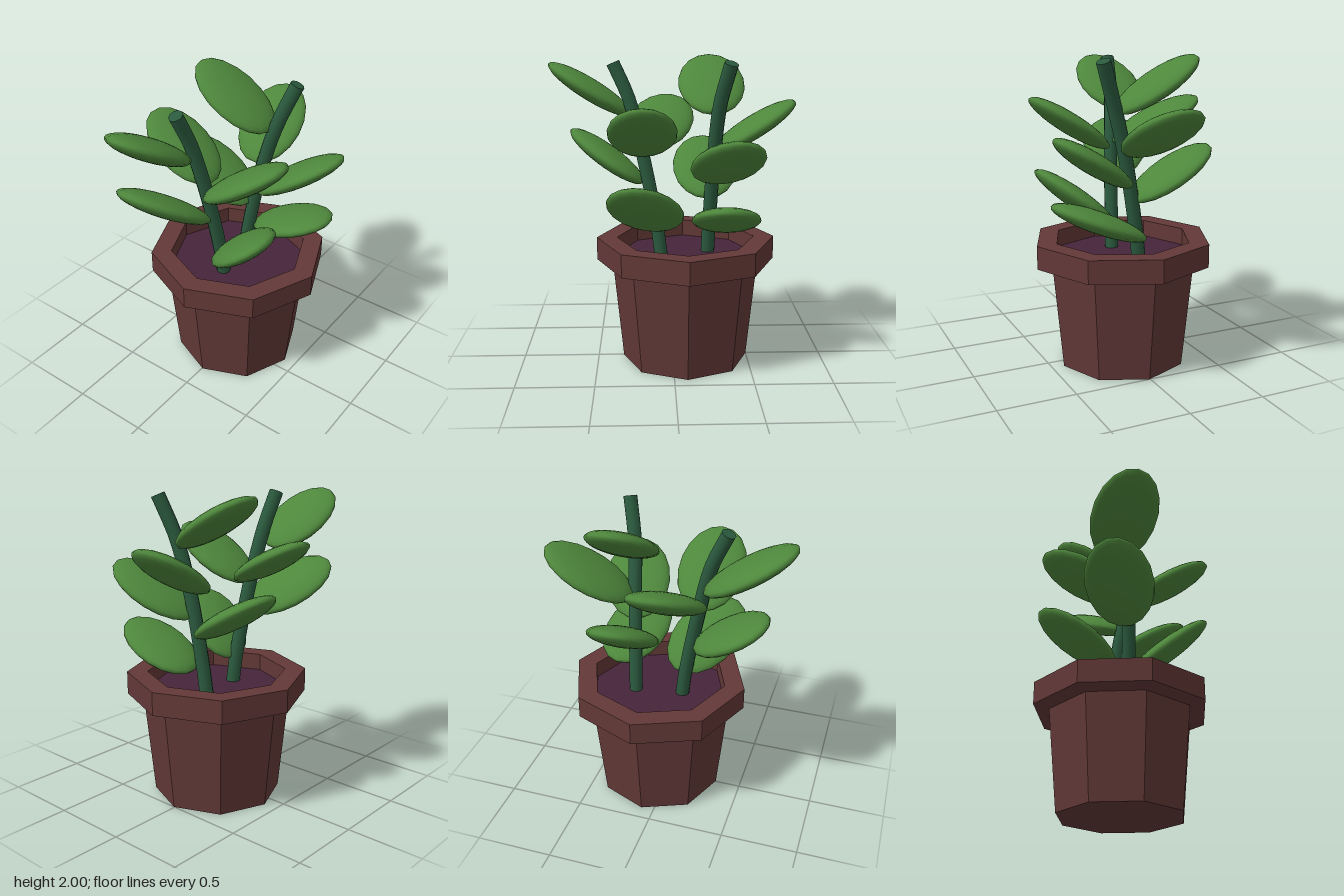
import * as THREE from 'three';

const V = (x, y, z) => new THREE.Vector3(x, y, z);
const rad = THREE.MathUtils.degToRad;

function paint(name, color) {
  const m = new THREE.MeshStandardMaterial({ color });
  m.name = name;
  return m;
}

export function createModel() {
  const clay = paint('clay', 0x623937);
  const earth = paint('earth', 0x45243a);
  const bark = paint('stemGreen', 0x2b5a3e);
  const green = paint('leafGreen', 0x4e873c);

  const group = new THREE.Group();
  group.name = 'pottedPlant';
  const add = (name, geometry, material, parent = group) => {
    const mesh = new THREE.Mesh(geometry, material);
    mesh.name = name;
    parent.add(mesh);
    return mesh;
  };

  // Eight-sided pot with a thick rim, hard facets
  const profile = [
    [0, 0], [0.415, 0], [0.48, 0.66], [0.583, 0.68],
    [0.583, 0.83], [0.45, 0.83], [0.45, 0.7],
  ].map(([x, y]) => new THREE.Vector2(x, y));
  const potGeometry = new THREE.LatheGeometry(profile, 8).toNonIndexed();
  potGeometry.computeVertexNormals();
  add('pot', potGeometry, clay).position.set(0.005, 0, -0.085);

  // Soil surface
  const soilGeometry = new THREE.CircleGeometry(0.45, 8).rotateX(-Math.PI / 2);
  add('soil', soilGeometry, earth).position.set(0.005, 0.72, -0.085);

  // Curved stems with flat cut tips
  const stemRadius = 0.045;
  function stem(name, points) {
    const curve = new THREE.CatmullRomCurve3(points);
    const part = new THREE.Group();
    part.name = name;
    group.add(part);
    add('stemTube', new THREE.TubeGeometry(curve, 16, stemRadius, 10), bark, part);
    const tip = add('stemTip', new THREE.CircleGeometry(stemRadius, 10), bark, part);
    tip.position.copy(curve.getPoint(1));
    tip.quaternion.setFromUnitVectors(V(0, 0, 1), curve.getTangent(1));
  }
  stem('frontStem', [
    V(0.005, 0.7, 0.075), V(-0.005, 0.9, 0.1), V(-0.035, 1.32, 0.18),
    V(-0.08, 1.72, 0.275), V(-0.102, 1.955, 0.378),
  ]);
  stem('backStem', [
    V(-0.045, 0.7, -0.235), V(-0.02, 0.9, -0.242), V(0.07, 1.4, -0.265),
    V(0.155, 1.71, -0.29), V(0.248, 1.97, -0.348),
  ]);

  // Leaves: flat ellipsoids with centre, heading, upward tilt and in-plane spin
  const leafGeometry = new THREE.SphereGeometry(1, 18, 14).scale(0.317, 0.068, 0.217);
  function leaf(name, x, y, z, heading, tilt, spin) {
    const [h, t, s] = [heading, tilt, spin].map(rad);
    const out = V(Math.cos(h), 0, Math.sin(h));
    const side = V(-Math.sin(h), 0, Math.cos(h));
    const up = V(0, 1, 0);
    const slope = out.clone().multiplyScalar(Math.cos(t)).addScaledVector(up, Math.sin(t));
    const normal = up.multiplyScalar(Math.cos(t)).addScaledVector(out, -Math.sin(t));
    const along = slope.multiplyScalar(Math.cos(s)).addScaledVector(side, Math.sin(s));
    const across = along.clone().cross(normal);
    const mesh = add(name, leafGeometry, green);
    mesh.position.set(x, y, z);
    mesh.quaternion.setFromRotationMatrix(new THREE.Matrix4().makeBasis(along, normal, across));
  }

  // Leaves of the front stem
  leaf('frontStemTopLeaf', -0.18, 1.78, 0.53, 90, 32, 0);
  leaf('frontStemUpperLeftLeaf', 0.25, 1.547, 0.193, 0, 33, 0);
  leaf('frontStemUpperRightLeaf', -0.31, 1.56, 0.068, 180, 28, 15);
  leaf('frontStemMiddleLeaf', -0.178, 1.342, 0.43, 90, 34, 30);
  leaf('frontStemLowLeaf', 0.23, 1.06, 0.175, 0, 38, 30);

  // Leaves of the back stem
  leaf('backStemTopLeaf', -0.15, 1.82, -0.258, 180, 32, 0);
  leaf('backStemRearLeaf', -0.045, 1.55, -0.53, 270, 31, -10);
  leaf('backStemLeftLeaf', 0.307, 1.37, -0.33, 0, 32, -17);
  leaf('backStemRightLeaf', -0.27, 1.255, -0.228, 180, 31, 0);
  leaf('backStemLowLeaf', 0.272, 1.005, -0.33, 0, 22, 10);

  return group;
}
